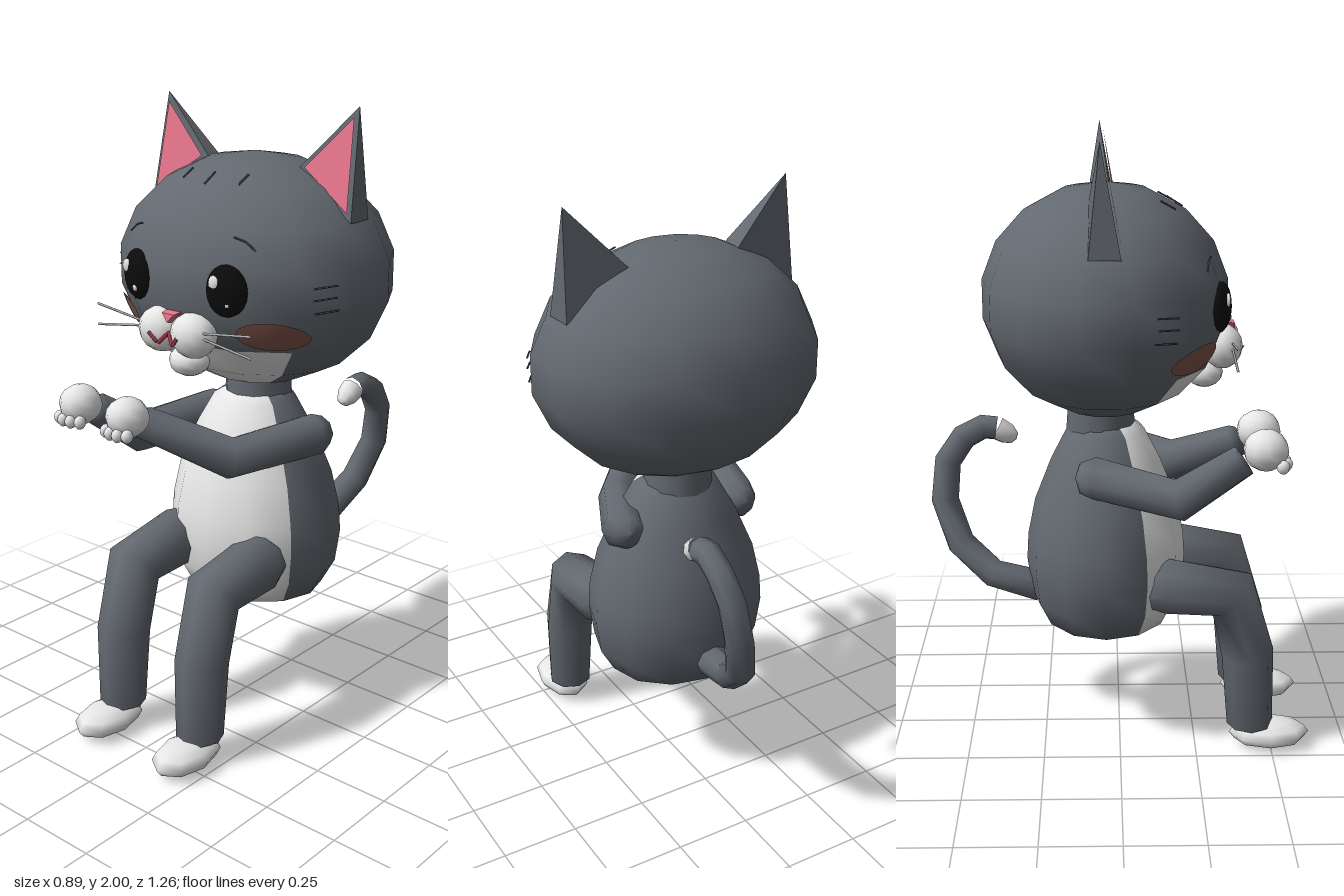
import * as THREE from 'three';
import { ConvexGeometry } from 'three/addons/geometries/ConvexGeometry.js';

const V = (x, y, z) => new THREE.Vector3(x, y, z);
const mat = (name, hex, side = THREE.FrontSide) => {
  const m = new THREE.MeshStandardMaterial({ color: hex, side });
  m.name = name;
  return m;
};

export function createModel() {
  const cat = new THREE.Group();
  cat.name = 'sittingCat';
  const grey = mat('greyFur', 0x636970);
  const white = mat('whiteFur', 0xf0f0f0);
  const pink = mat('pink', 0xf07a91, THREE.DoubleSide);
  const black = mat('eyeBlack', 0x0c0c0c);
  const blush = mat('blush', 0x80554c, THREE.DoubleSide);
  const mouthRed = mat('mouthRed', 0xa83a4c);
  const whiskerGrey = mat('whiskerGrey', 0xb8b8b8);
  const darkGrey = mat('darkGrey', 0x43484d);

  const add = (name, geo, material) => {
    const m = new THREE.Mesh(geo, material);
    m.name = name;
    cat.add(m);
    return m;
  };
  const ball = (name, material, pos, radii, ws = 12, hs = 8) => {
    const m = add(name, new THREE.SphereGeometry(1, ws, hs).scale(...radii), material);
    m.position.set(...pos);
    return m;
  };
  // Tapered limb: a ring [x, y, z, radius] at each joint, mitred at the bends
  const limb = (name, material, rings, ref, sides = 8) => {
    const p = rings.map(r => V(r[0], r[1], r[2]));
    const dir = i => p[i + 1].clone().sub(p[i]).normalize();
    const pos = [], idx = [];
    p.forEach((c, i) => {
      const t = V(0, 0, 0);
      if (i > 0) t.add(dir(i - 1));
      if (i < p.length - 1) t.add(dir(i));
      t.normalize();
      const u = ref.clone().cross(t).normalize(), v = t.clone().cross(u);
      for (let j = 0; j < sides; j++) {
        const a = j / sides * Math.PI * 2;
        const q = c.clone().addScaledVector(u, Math.cos(a) * rings[i][3]).addScaledVector(v, Math.sin(a) * rings[i][3]);
        pos.push(q.x, q.y, q.z);
        if (i < p.length - 1) {
          const A = i * sides + j, B = i * sides + (j + 1) % sides;
          idx.push(A, B, A + sides, B, B + sides, A + sides);
        }
      }
    });
    const g = new THREE.BufferGeometry();
    g.setAttribute('position', new THREE.Float32BufferAttribute(pos, 3));
    g.setIndex(idx);
    g.computeVertexNormals();
    return add(name, g, material);
  };
  const line = (name, material, pts, r) => {
    const path = new THREE.CurvePath();
    for (let i = 0; i < pts.length - 1; i++) path.add(new THREE.LineCurve3(pts[i], pts[i + 1]));
    return add(name, new THREE.TubeGeometry(path, (pts.length - 1) * 4, r, 5), material);
  };

  // Head: 14 x 9 ellipsoid with a white front jaw
  const HR = [0.465, 0.363, 0.39], HC = [0, 1.483, -0.045];
  const seg = Math.PI * 2 / 14, jaw = Math.PI * 2 / 3;
  const headPart = (name, material, ws, hs, phi, theta, thetaLen) => add(name,
    new THREE.SphereGeometry(1, ws, hs, phi, ws * seg, theta, thetaLen).scale(...HR).translate(...HC), material);
  headPart('headTop', grey, 14, 6, Math.PI / 2, 0, jaw);
  headPart('headLowerBack', grey, 10, 3, Math.PI / 2 + 2 * seg, jaw, Math.PI / 3);
  headPart('jaw', white, 4, 3, Math.PI / 2 - 2 * seg, jaw, Math.PI / 3);
  const onHead = (x, y, lift = 0) => {
    const k = 1 - (x / HR[0]) ** 2 - ((y - HC[1]) / HR[1]) ** 2;
    return V(x, y, HC[2] + HR[2] * Math.sqrt(Math.max(k, 0)) + lift);
  };

  // Paired parts of the face
  for (const s of [1, -1]) {
    const side = s > 0 ? 'left' : 'right';

    // Ear: pyramid with a pink inner plate
    const tip = V(s * 0.375, 2, -0.06), outer = V(s * 0.395, 1.67, 0), inner = V(s * 0.18, 1.81, -0.03);
    add(side + 'Ear', new ConvexGeometry([tip, outer, inner, V(s * 0.39, 1.67, -0.095), V(s * 0.18, 1.8, -0.095)]), grey);
    const mid = tip.clone().add(outer).add(inner).divideScalar(3);
    const plate = new THREE.BufferGeometry().setFromPoints(
      (s > 0 ? [tip, inner, outer] : [tip, outer, inner]).map(q => q.clone().lerp(mid, 0.18).add(V(0, 0, 0.007))));
    plate.computeVertexNormals();
    add(side + 'InnerEar', plate, pink);

    // Eye with two highlights
    const eye = ball(side + 'Eye', black, [s * 0.178, 1.492, 0.3], [0.066, 0.078, 0.034], 14, 10);
    eye.rotation.y = s * 0.3;
    ball(side + 'EyeShine', white, [s * 0.178 - 0.024, 1.518, s > 0 ? 0.331 : 0.322], [0.02, 0.022, 0.008], 10, 6);
    ball(side + 'EyeGlint', white, [s * 0.178 + 0.016, 1.458, s > 0 ? 0.318 : 0.329], [0.011, 0.013, 0.008], 8, 6);

    // Cheek blush laid on the head surface
    const patch = new THREE.RingGeometry(0, 1, 20, 3), a = patch.attributes.position;
    for (let i = 0; i < a.count; i++) {
      const q = onHead(s * 0.285 + a.getX(i) * 0.087, 1.358 + a.getY(i) * 0.046, 0.003);
      a.setXYZ(i, q.x, q.y, q.z);
    }
    patch.computeVertexNormals();
    add(side + 'Blush', patch, blush);

    // Muzzle and whiskers
    ball(side + 'Muzzle', white, [s * 0.065, 1.345, 0.32], [0.077, 0.07, 0.064]);
    for (const [y0, y1] of [[1.365, 1.388], [1.35, 1.322]])
      line(side + 'Whisker', whiskerGrey, [V(s * 0.12, y0, 0.347), V(s * 0.31, y1, 0.347)], 0.004);

    // Brow and fine fur marks
    line(side + 'Brow', darkGrey, [[0.18, 1.645], [0.215, 1.635], [0.25, 1.61]].map(q => onHead(s * q[0], q[1])), 0.003);
    for (const y of [1.505, 1.47, 1.43])
      line(side + 'CheekMark', darkGrey, [onHead(s * 0.39, y), onHead(s * 0.43, y + 0.006)], 0.003);
    line(side + 'ForeheadMark', darkGrey, [onHead(s * 0.11, 1.8), onHead(s * 0.11, 1.775)], 0.003);
  }
  line('middleForeheadMark', darkGrey, [onHead(0, 1.8), onHead(0, 1.77)], 0.003);
  ball('chin', white, [0, 1.245, 0.27], [0.066, 0.047, 0.06]);

  // Nose and mouth
  add('nose', new ConvexGeometry([V(-0.03, 1.412, 0.335), V(0.03, 1.412, 0.335), V(0, 1.378, 0.345),
    V(-0.024, 1.408, 0.362), V(0.024, 1.408, 0.362), V(0, 1.382, 0.366)]), pink);
  line('mouth', mouthRed, [V(-0.058, 1.348, 0.385), V(-0.03, 1.316, 0.376), V(0, 1.35, 0.36),
    V(0.03, 1.316, 0.376), V(0.058, 1.348, 0.385)], 0.006);

  // Pear-shaped body with a white belly, and the neck
  const profile = [[0, 0.42], [0.235, 0.42], [0.28, 0.5], [0.296, 0.61], [0.29, 0.7], [0.262, 0.82], [0.2, 0.96], [0.142, 1.06], [0.1, 1.085]]
    .map(q => new THREE.Vector2(...q));
  const torso = (name, material, n, start) => add(name,
    new THREE.LatheGeometry(profile, n, start, n * Math.PI / 6).scale(1, 1, 0.88).translate(0, 0, -0.045), material);
  torso('belly', white, 4, -Math.PI / 3);
  torso('back', grey, 8, Math.PI / 3);
  add('neck', new THREE.CylinderGeometry(0.105, 0.112, 0.1, 12).translate(0, 1.09, -0.06), grey);

  // Legs and feet
  for (const s of [1, -1]) {
    const x = s * 0.17;
    limb(s > 0 ? 'leftLeg' : 'rightLeg', grey, [
      [x, 0.56, 0.05, 0.001], [x, 0.565, 0.07, 0.06], [x, 0.58, 0.14, 0.096], [x, 0.55, 0.36, 0.092],
      [x, 0.34, 0.417, 0.085], [x, 0.085, 0.43, 0.075], [x, 0.08, 0.43, 0.001]], V(1, 0, 0));
    ball(s > 0 ? 'leftFoot' : 'rightFoot', white, [s * 0.172, 0.051, 0.495], [0.084, 0.047, 0.133], 8, 6);
  }

  // Arms reach forward, both paws to the right of centre
  const arm = (side, s, elbowX, handX) => {
    limb(side + 'Arm', grey, [
      [s * 0.215, 0.963, -0.14, 0.001], [s * 0.212, 0.962, -0.125, 0.05], [s * 0.21, 0.96, -0.08, 0.07],
      [elbowX, 0.922, 0.18, 0.068], [handX, 1.05, 0.37, 0.052], [handX, 1.053, 0.374, 0.001]], V(0, 1, 0));
    ball(side + 'Paw', white, [handX, 1.082, 0.437], [0.068, 0.064, 0.07], 10, 8);
    for (const [dx, dz] of [[-0.045, 0.485], [-0.016, 0.497], [0.016, 0.497], [0.045, 0.485]])
      ball(side + 'Toe', white, [handX + dx, 1.042, dz], [0.018, 0.022, 0.02], 8, 6);
  };
  arm('left', 1, 0.085, -0.105);
  arm('right', -1, -0.308, -0.31);

  // Curled tail with a white tip
  limb('tail', grey, [
    [0, 0.51, -0.25, 0.001], [0, 0.51, -0.27, 0.055], [0.02, 0.545, -0.42, 0.05], [0.06, 0.64, -0.53, 0.048],
    [0.1, 0.78, -0.582, 0.046], [0.12, 0.91, -0.57, 0.044], [0.13, 0.99, -0.515, 0.043],
    [0.13, 1.025, -0.45, 0.042], [0.13, 1.02, -0.405, 0.04]], V(1, 0, 0));
  limb('tailTip', white, [
    [0.13, 1.02, -0.405, 0.04], [0.13, 1, -0.37, 0.036], [0.13, 0.985, -0.348, 0.022], [0.13, 0.98, -0.342, 0.001]], V(1, 0, 0));

  return cat;
}
